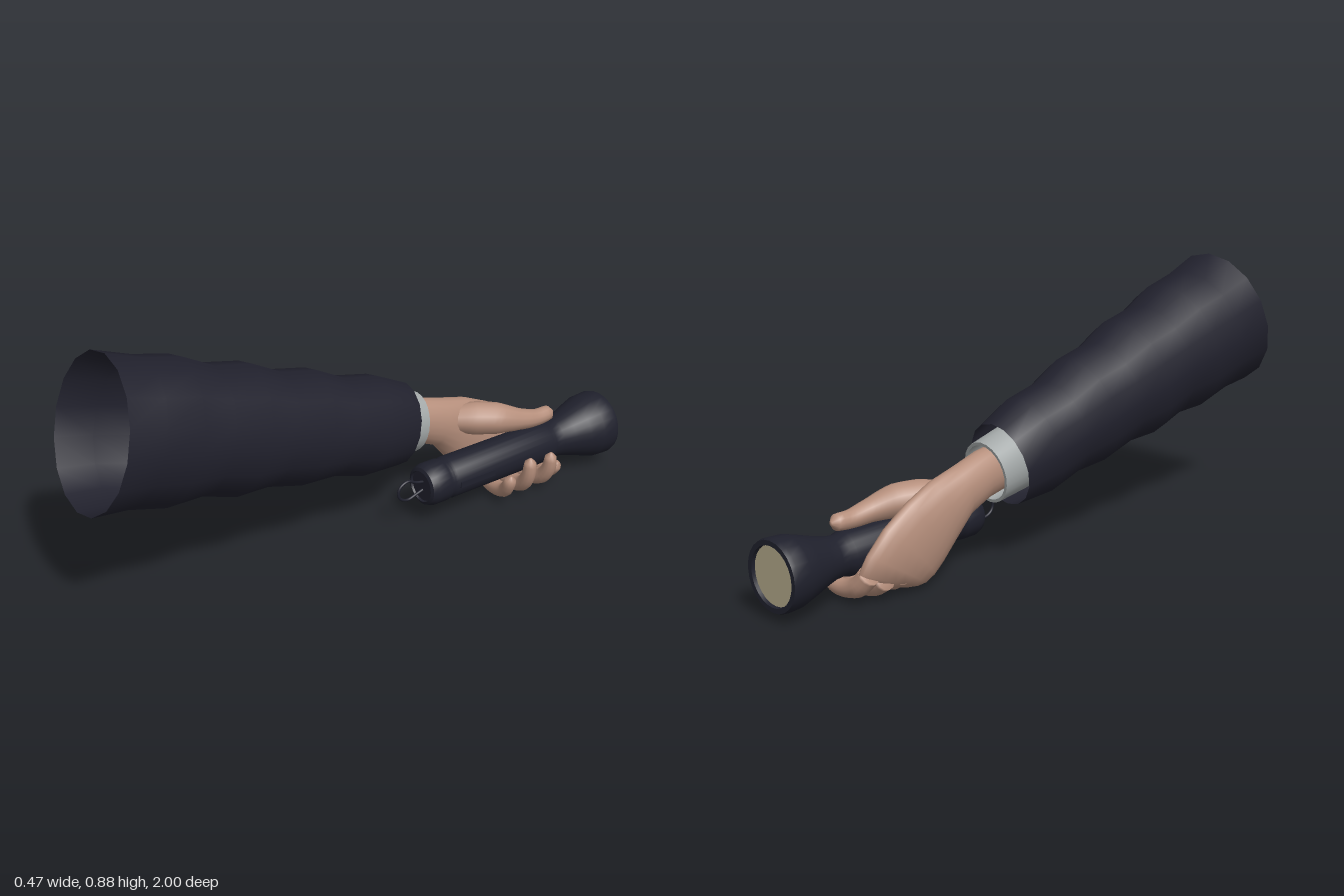
import * as THREE from 'three';
import { toCreasedNormals } from 'three/addons/utils/BufferGeometryUtils.js';

const V = (x, y, z) => new THREE.Vector3(x, y, z);

// Skin a list of elliptical rings {c, u, v}; u x v points along the direction of travel.
function loft(rings, sides, capStart = false, capEnd = false) {
  const pos = [], idx = [];
  for (const { c, u, v } of rings) {
    for (let j = 0; j < sides; j++) {
      const t = (j / sides) * Math.PI * 2;
      const p = c.clone().addScaledVector(u, Math.cos(t)).addScaledVector(v, Math.sin(t));
      pos.push(p.x, p.y, p.z);
    }
  }
  for (let i = 0; i < rings.length - 1; i++) {
    for (let j = 0; j < sides; j++) {
      const k = (j + 1) % sides;
      const a = i * sides + j, b = i * sides + k, c = a + sides, d = b + sides;
      idx.push(a, b, c, b, d, c);
    }
  }
  const cap = (i, flip) => {
    const n = pos.length / 3, c = rings[i].c;
    pos.push(c.x, c.y, c.z);
    for (let j = 0; j < sides; j++) {
      const a = i * sides + j, b = i * sides + (j + 1) % sides;
      if (flip) idx.push(n, b, a); else idx.push(n, a, b);
    }
  };
  if (capStart) cap(0, true);
  if (capEnd) cap(rings.length - 1, false);
  const g = new THREE.BufferGeometry();
  g.setAttribute('position', new THREE.Float32BufferAttribute(pos, 3));
  g.setIndex(idx);
  g.computeVertexNormals();
  return g;
}

// Ring across the arm from its top and bottom points, half width and centre x.
function section([topZ, topY, botZ, botY, half, cx = -0.02], scale = 1) {
  return {
    c: V(cx, (topY + botY) / 2, (topZ + botZ) / 2),
    u: V(0, (topY - botY) / 2, (topZ - botZ) / 2).multiplyScalar(scale),
    v: V(half * scale, 0, 0),
  };
}

// Tapered tube with rounded ends, for thumb and fingers.
function digit(points, radii, steps = 22) {
  const curve = new THREE.CatmullRomCurve3(points);
  const frames = curve.computeFrenetFrames(steps, false);
  const length = curve.getLength();
  const rings = [];
  for (let i = 0; i <= steps; i++) {
    const t = i / steps, f = curve.getUtoTmapping(t) * (radii.length - 1);
    const k = Math.min(Math.floor(f), radii.length - 2);
    let r = THREE.MathUtils.lerp(radii[k], radii[k + 1], f - k);
    const left = ((1 - t) * length) / r;
    if (left < 1) r *= Math.max(0.25, Math.sqrt(1 - (1 - left) ** 2));
    rings.push({
      c: curve.getPointAt(t),
      u: frames.normals[i].clone().multiplyScalar(r),
      v: frames.binormals[i].clone().multiplyScalar(r),
    });
  }
  return loft(rings, 12, true, true);
}

export function createModel() {
  const mat = (name, color, side = THREE.FrontSide) => {
    const m = new THREE.MeshStandardMaterial({ color, side });
    m.name = name;
    return m;
  };
  const cloth = mat('navy cloth', 0x21212d, THREE.DoubleSide);
  const linen = mat('grey linen', 0xa3a8a8, THREE.DoubleSide);
  const skin = mat('skin', 0xb68f7c);
  const casing = mat('dark casing', 0x1f202c);
  const glass = mat('cream lens', 0xb3a98a);

  const model = new THREE.Group();
  model.name = 'armWithFlashlight';
  const add = (name, geometry, material, parent = model) => {
    const m = new THREE.Mesh(geometry, material);
    m.name = name;
    parent.add(m);
    return m;
  };

  // Sleeve with soft folds, open at both ends
  const sleeve = [
    [0.87, 0.88, 1.0, 0.40, 0.22], [0.74, 0.83, 0.88, 0.385, 0.208],
    [0.62, 0.80, 0.75, 0.345, 0.203], [0.51, 0.74, 0.62, 0.34, 0.186],
    [0.38, 0.71, 0.50, 0.295, 0.185], [0.27, 0.65, 0.38, 0.29, 0.168],
    [0.14, 0.62, 0.25, 0.25, 0.164], [0.03, 0.56, 0.12, 0.24, 0.15],
    [-0.10, 0.53, 0.0, 0.20, 0.146], [-0.22, 0.47, -0.15, 0.19, 0.125],
  ];
  add('sleeve', loft(sleeve.map(s => section(s)), 16), cloth);

  // Shirt cuff: outside, rim and inside
  const near = [-0.14, 0.455, -0.10, 0.235, 0.097], far = [-0.27, 0.42, -0.23, 0.215, 0.092];
  const cuff = new THREE.Group();
  cuff.name = 'cuff';
  model.add(cuff);
  add('cuffOutside', loft([section(near), section(far)], 24), linen, cuff);
  add('cuffRim', loft([section(far), section(far, 0.9)], 24), linen, cuff);
  add('cuffInside', loft([section(far, 0.9), section(near, 0.9)], 24), linen, cuff);

  // Wrist and palm, sweeping down beside the flashlight
  const hand = new THREE.Group();
  hand.name = 'hand';
  model.add(hand);
  const palm = [
    [-0.14, 0.415, -0.12, 0.265, 0.058], [-0.28, 0.395, -0.26, 0.235, 0.058],
    [-0.38, 0.365, -0.34, 0.20, 0.06], [-0.48, 0.34, -0.40, 0.13, 0.058],
    [-0.58, 0.295, -0.445, 0.075, 0.05], [-0.67, 0.235, -0.48, 0.04, 0.046, -0.018],
    [-0.735, 0.165, -0.51, 0.02, 0.04, -0.012], [-0.76, 0.11, -0.53, 0.012, 0.032, 0.0],
    [-0.745, 0.075, -0.56, 0.012, 0.018, 0.01],
  ];
  add('palm', loft(palm.map(s => section(s)), 20, true, true), skin, hand);

  // Thumb lying along the top of the casing
  add('thumb', digit(
    [V(-0.015, 0.28, -0.41), V(0.03, 0.28, -0.48), V(0.07, 0.275, -0.55),
      V(0.097, 0.258, -0.63), V(0.105, 0.246, -0.70), V(0.106, 0.25, -0.775)],
    [0.045, 0.058, 0.055, 0.038, 0.03, 0.027]), skin, hand);

  // Fingers curling underneath: knuckle z, tip z, tip height, size
  const fingers = [
    ['littleFinger', -0.54, -0.50, 0.125, 0.9], ['ringFinger', -0.605, -0.585, 0.168, 1],
    ['middleFinger', -0.67, -0.68, 0.16, 1],
  ];
  for (const [name, z0, z1, tip, s] of fingers) {
    const z = t => z0 + (z1 - z0) * t;
    add(name, digit(
      [V(-0.015, 0.075, z(0)), V(0.04, 0.042, z(0.2)), V(0.11, 0.034, z(0.5)),
        V(0.175, 0.054, z(0.8)), V(0.207, 0.1, z(1)), V(0.215, tip, z(1))],
      [0.034 * s, 0.034 * s, 0.031 * s, 0.028 * s, 0.025 * s, 0.02 * s]), skin, hand);
  }
  add('indexFinger', digit(
    [V(-0.005, 0.1, -0.725), V(0.03, 0.06, -0.735), V(0.085, 0.04, -0.74),
      V(0.145, 0.045, -0.742), V(0.185, 0.085, -0.745)],
    [0.034, 0.034, 0.029, 0.026, 0.021]), skin, hand);

  // Flashlight turned along z: head at the back, tail cap at the front
  const light = new THREE.Group();
  light.name = 'flashlight';
  light.position.set(0.107, 0.142, 0);
  model.add(light);
  const profile = [
    [0.094, -0.985], [0.096, -1.0], [0.112, -1.0], [0.116, -0.985], [0.113, -0.935],
    [0.098, -0.885], [0.08, -0.83], [0.068, -0.785], [0.065, -0.75], [0.072, -0.73],
    [0.073, -0.30], [0.07, -0.29], [0.07, -0.28], [0.074, -0.27], [0.074, -0.215],
    [0.066, -0.195], [0.055, -0.19], [0.053, -0.198], [0, -0.198],
  ].map(([r, z]) => new THREE.Vector2(r, z));
  const body = new THREE.LatheGeometry(profile, 24).rotateX(Math.PI / 2);
  add('casing', toCreasedNormals(body, 0.7), casing, light);
  add('lens', new THREE.CircleGeometry(0.096, 24).rotateY(Math.PI), glass, light)
    .position.z = -0.988;
  add('switchPlate', new THREE.BoxGeometry(0.008, 0.022, 0.15), casing, light)
    .position.set(0.072, 0, -0.38);

  // Wire hanging loop on the tail cap
  const loop = new THREE.CatmullRomCurve3([
    V(0, 0.015, -0.2), V(0, 0.022, -0.17), V(0, 0.037, -0.135), V(0, 0.025, -0.105),
    V(0, 0, -0.096), V(0, -0.02, -0.105), V(0, -0.033, -0.135), V(0, -0.024, -0.17),
    V(0, -0.015, -0.2),
  ]);
  add('hangingLoop', new THREE.TubeGeometry(loop, 32, 0.005, 8), casing, light);

  return model;
}
